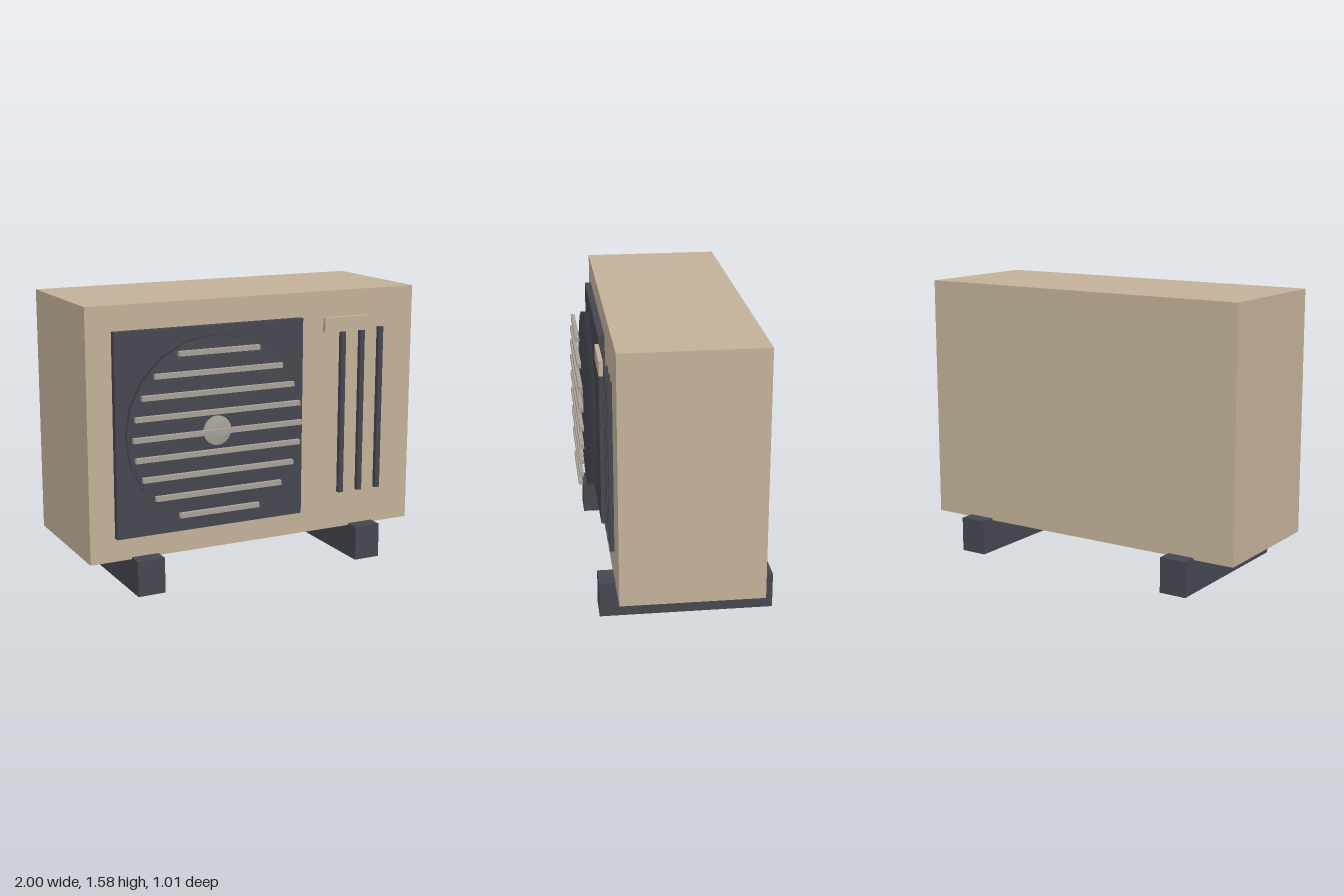
import * as THREE from 'three';
import { mergeVertices } from 'three/addons/utils/BufferGeometryUtils.js';

const material = (name, color) => {
  const m = new THREE.MeshStandardMaterial({ color });
  m.name = name;
  return m;
};

export function createModel() {
  const model = new THREE.Group();
  model.name = 'outdoorAirConditioner';
  const beige = material('casingBeige', 0xc2b199);
  const dark = material('darkGrey', 0x464650);
  const grey = material('warmGrey', 0xa7a197);

  // Box given by its limits on each axis
  const box = (name, mat, [x0, x1], [y0, y1], [z0, z1]) => {
    const mesh = new THREE.Mesh(new THREE.BoxGeometry(x1 - x0, y1 - y0, z1 - z0), mat);
    mesh.position.set((x0 + x1) / 2, (y0 + y1) / 2, (z0 + z1) / 2);
    mesh.name = name;
    model.add(mesh);
  };

  const fanX = -0.297, fanY = 0.88;

  // Forward-facing disc with normals shared between rim and faces
  const disc = (name, mat, radius, sides, z0, z1) => {
    let geo = new THREE.CylinderGeometry(radius, radius, z1 - z0, sides);
    geo.rotateX(Math.PI / 2);
    geo.deleteAttribute('uv');
    geo.deleteAttribute('normal');
    geo = mergeVertices(geo, 1e-4);
    geo.computeVertexNormals();
    const mesh = new THREE.Mesh(geo, mat);
    mesh.position.set(fanX, fanY, (z0 + z1) / 2);
    mesh.name = name;
    model.add(mesh);
  };

  // Casing and feet
  box('casing', beige, [-1, 1], [0.188, 1.577], [-0.418, 0.362]);
  for (const x of [-0.684, 0.681]) {
    box('foot', dark, [x - 0.079, x + 0.079], [0, 0.199], [-0.503, 0.45]);
  }

  // Fan panel, disc and hub
  box('fanPanel', dark, [-0.857, 0.263], [0.32, 1.44], [0.362, 0.398]);
  disc('fanDisc', dark, 0.515, 20, 0.415, 0.45);
  disc('fanHub', grey, 0.081, 20, 0.459, 0.472);

  // Grille slats, cut to a circle
  for (let i = -4; i <= 4; i++) {
    const y = fanY + i * 0.11;
    const half = Math.sqrt(0.25 - (i * 0.11) ** 2);
    box('grilleSlat', grey, [fanX - half, fanX + half], [y - 0.0135, y + 0.0135], [0.482, 0.505]);
  }

  // Vertical vents and the small plate above them
  for (const x of [0.53, 0.654, 0.777]) {
    box('sideVent', dark, [x - 0.015, x + 0.015], [0.405, 1.355], [0.367, 0.392]);
  }
  box('blankPlate', beige, [0.388, 0.68], [1.352, 1.435], [0.403, 0.426]);

  return model;
}
